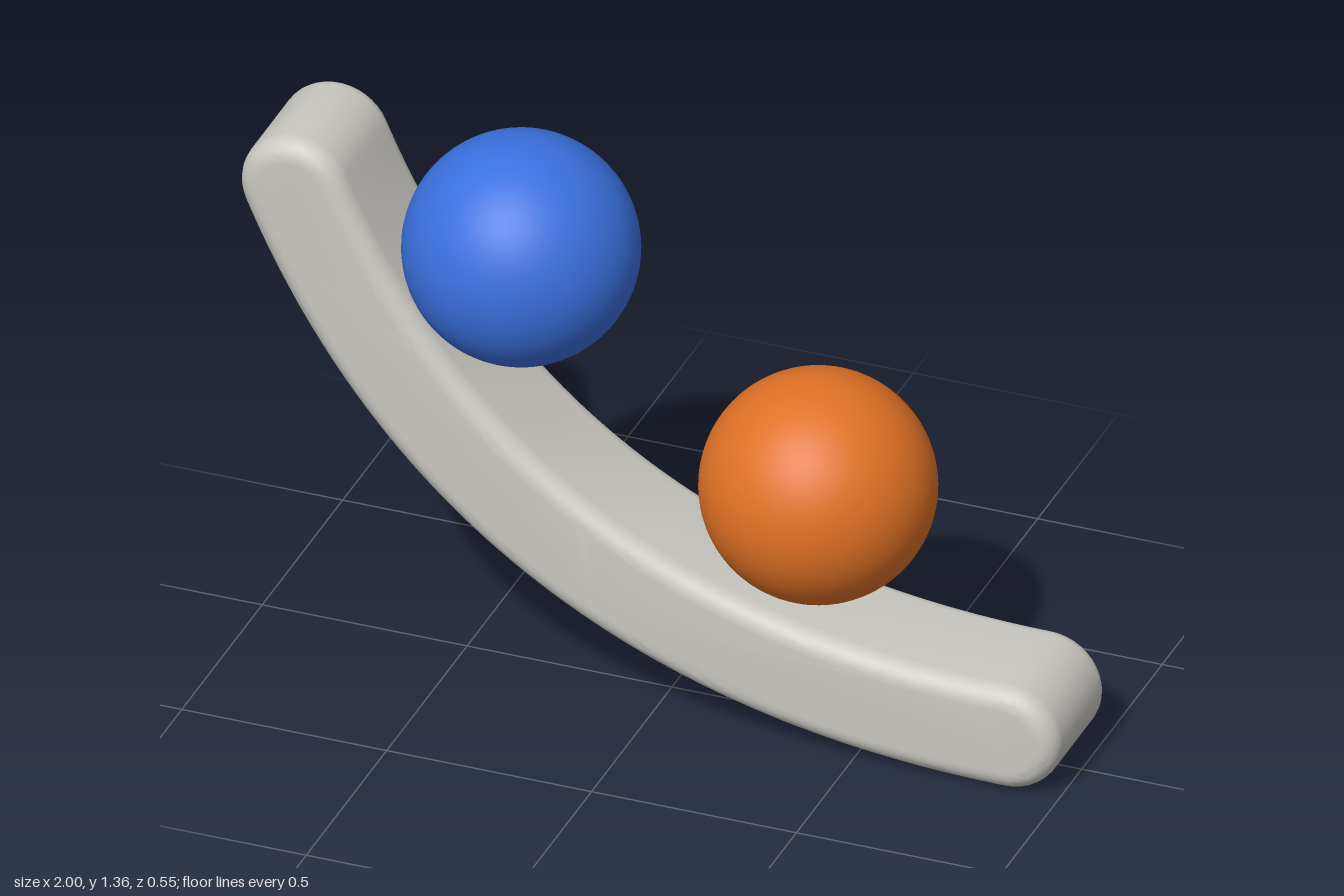
import * as THREE from 'three';
import { toCreasedNormals } from 'three/addons/utils/BufferGeometryUtils.js';

const material = (name, color) => {
  const m = new THREE.MeshStandardMaterial({ color });
  m.name = name;
  return m;
};

// Outline of a curve drawn with a thick, round-ended stroke
function strokeShape(curve, halfWidth, steps, capSteps) {
  const left = [], right = [];
  for (let i = 0; i <= steps; i++) {
    const p = curve.getPoint(i / steps);
    const t = curve.getTangent(i / steps);
    const n = new THREE.Vector2(-t.y, t.x).multiplyScalar(halfWidth);
    left.push(p.clone().add(n));
    right.push(p.clone().sub(n));
  }
  // Half-circle cap, counter-clockwise from the given edge point
  const cap = (centre, from) => {
    const points = [];
    for (let i = 1; i < capSteps; i++) {
      points.push(from.clone().rotateAround(centre, Math.PI * i / capSteps));
    }
    return points;
  };
  return new THREE.Shape([
    ...right, ...cap(curve.getPoint(1), right[steps]),
    ...left.slice().reverse(), ...cap(curve.getPoint(0), left[0]),
  ]);
}

export function createModel() {
  const model = new THREE.Group();
  model.name = 'curvedBarWithBalls';

  const add = (name, geometry, mat, x = 0, y = 0, z = 0) => {
    const mesh = new THREE.Mesh(geometry, mat);
    mesh.name = name;
    mesh.position.set(x, y, z);
    model.add(mesh);
  };

  // Curved bar with rounded ends and soft edges
  const halfWidth = 0.132, halfDepth = 0.167, bevel = 0.05;
  const path = new THREE.QuadraticBezierCurve(
    new THREE.Vector2(-0.868, 1.206),
    new THREE.Vector2(-0.4, 0.133),
    new THREE.Vector2(0.868, 0.133),
  );
  const depth = 2 * (halfDepth - bevel);
  const bar = new THREE.ExtrudeGeometry(strokeShape(path, halfWidth - bevel, 64, 20), {
    depth, bevelEnabled: true, bevelSize: bevel, bevelThickness: bevel, bevelSegments: 8,
  });
  bar.translate(0, 0, -depth / 2);
  add('curvedBar', toCreasedNormals(bar, 0.6), material('warmGrey', 0xc9c7c1));

  // Balls resting on the inner side of the bar
  const ball = new THREE.SphereGeometry(0.273, 64, 40);
  add('upperBall', ball, material('blue', 0x3a70de), -0.368, 1.083);
  add('lowerBall', ball, material('orange', 0xdf7125), 0.357, 0.612);

  return model;
}
